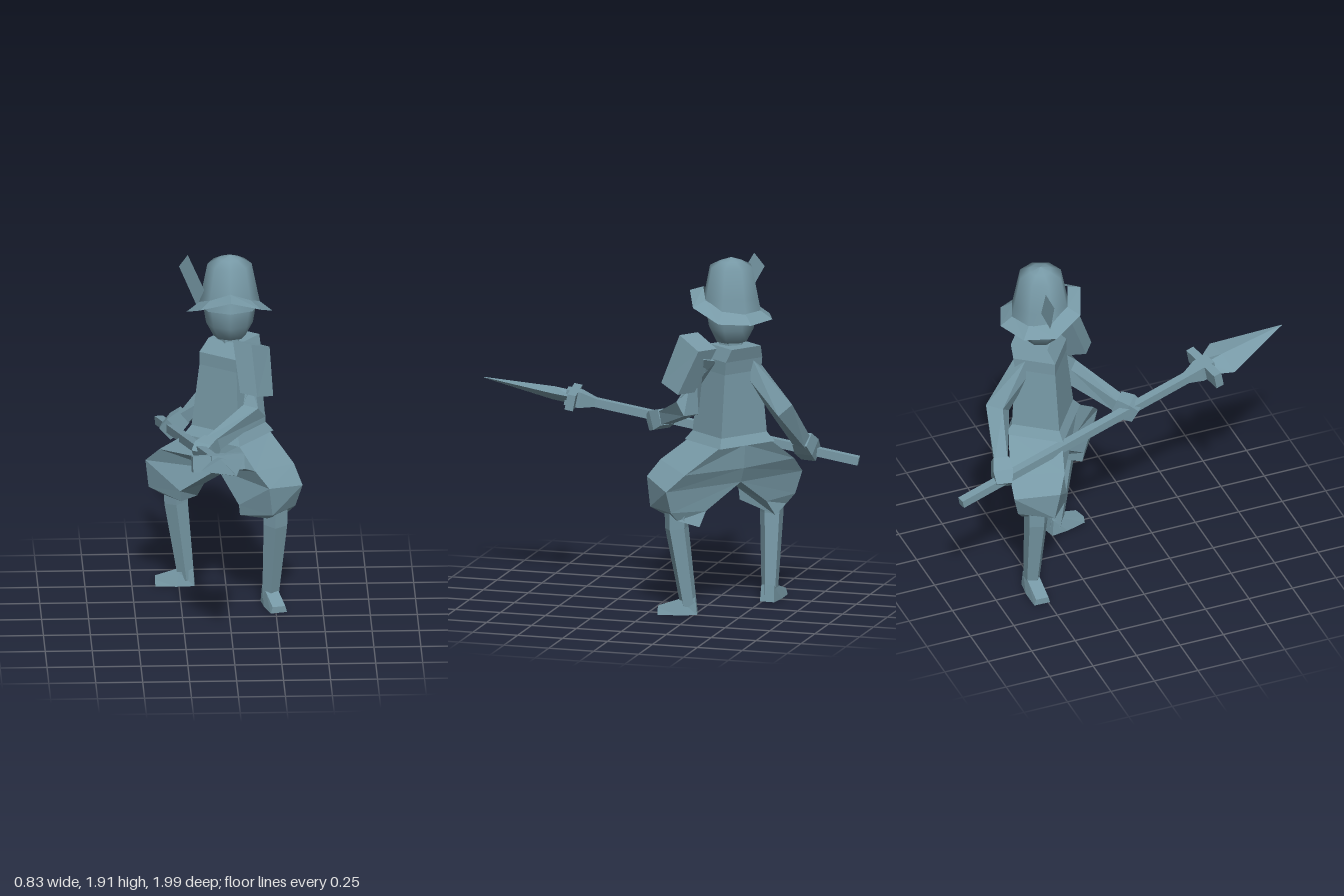
import * as THREE from 'three';

const COLOR = 0x7799a6;
const flat = new THREE.MeshStandardMaterial({ color: COLOR, flatShading: true, side: THREE.DoubleSide });
const smooth = new THREE.MeshStandardMaterial({ color: COLOR, side: THREE.DoubleSide });

function add(parent, name, geometry, material = flat) {
  const mesh = new THREE.Mesh(geometry, material);
  mesh.name = name;
  parent.add(mesh);
  return mesh;
}

// Skin a list of equal-length rings of [x, y, z]; capped, wound outward
function loft(rings, caps = true) {
  const tris = [];
  const n = rings[0].length;
  for (let i = 0; i < rings.length - 1; i++) {
    for (let j = 0; j < n; j++) {
      const k = (j + 1) % n;
      const [a, b, c, d] = [rings[i][j], rings[i][k], rings[i + 1][k], rings[i + 1][j]];
      tris.push([a, b, c], [a, c, d]);
    }
  }
  if (caps) {
    const [first, last] = [rings[0], rings[rings.length - 1]];
    for (let j = 1; j < n - 1; j++) {
      tris.push([first[0], first[j + 1], first[j]], [last[0], last[j], last[j + 1]]);
    }
  }
  let volume = 0;
  for (const [a, b, c] of tris) {
    volume += new THREE.Vector3(...a).dot(new THREE.Vector3(...b).cross(new THREE.Vector3(...c)));
  }
  if (volume < 0) tris.forEach((t) => t.reverse());
  const geometry = new THREE.BufferGeometry();
  geometry.setAttribute('position', new THREE.Float32BufferAttribute(tris.flat(2), 3));
  geometry.computeVertexNormals();
  return geometry;
}

// Faceted limb through points [x, y, z, radius]
function limb(points, sides = 4, turn = Math.PI / 4) {
  const v = points.map((p) => new THREE.Vector3(p[0], p[1], p[2]));
  return loft(points.map((p, i) => {
    const dir = v[Math.min(i + 1, v.length - 1)].clone().sub(v[Math.max(i - 1, 0)]).normalize();
    const ref = Math.abs(dir.y) > 0.9 ? new THREE.Vector3(0.6, 0, -0.8) : new THREE.Vector3(0, 1, 0);
    const s = ref.cross(dir).normalize();
    const t = dir.clone().cross(s);
    return Array.from({ length: sides }, (_, j) => {
      const a = turn + (j / sides) * Math.PI * 2;
      return v[i].clone().addScaledVector(s, p[3] * Math.cos(a)).addScaledVector(t, p[3] * Math.sin(a)).toArray();
    });
  }));
}

const rect = (y, w, back, front) => [[w, y, back], [w, y, front], [-w, y, front], [-w, y, back]];

function buildBody() {
  const body = new THREE.Group();
  body.name = 'body';
  body.position.set(0.01, 0, -0.375);
  body.rotation.y = -0.64;

  // Tunic with a flared hem and sloping collar
  add(body, 'tunic', loft([
    rect(0.91, 0.18, -0.16, 0.16), rect(0.96, 0.15, -0.13, 0.13), rect(1.3, 0.12, -0.12, 0.1),
    rect(1.37, 0.12, -0.13, 0.1), rect(1.44, 0.095, -0.15, 0.05),
  ]));

  // Baggy breeches, one mirrored half per leg
  const half = [
    [[0.17, 0.91, -0.14], [0.17, 0.91, 0.15], [0, 0.91, 0.15], [0, 0.91, -0.14]],
    [[0.36, 0.78, -0.09], [0.31, 0.81, 0.2], [0, 0.8, 0.16], [0, 0.78, -0.13]],
    [[0.45, 0.69, -0.04], [0.4, 0.73, 0.2], [0, 0.73, 0.1], [0, 0.7, -0.1]],
    [[0.41, 0.57, -0.03], [0.4, 0.57, 0.17], [0.19, 0.59, 0.18], [0.2, 0.56, -0.06]],
    [[0.36, 0.52, -0.02], [0.34, 0.53, 0.13], [0.19, 0.53, 0.17], [0.25, 0.48, -0.07]],
  ];
  for (const side of [1, -1]) {
    add(body, side > 0 ? 'leftBreeches' : 'rightBreeches',
      loft(half.map((ring) => ring.map(([x, y, z]) => [x * side, y, z]))));
  }
  return body;
}

function buildLegs(group) {
  const legs = [
    { side: 'left', knee: [0.25, -0.155], ankle: [0.225, -0.215], yaw: 0.25 },
    { side: 'right', knee: [-0.265, -0.525], ankle: [-0.21, -0.53], yaw: -1.6 },
  ];
  for (const { side, knee, ankle, yaw } of legs) {
    add(group, side + 'Shin', limb([
      [knee[0], 0.6, knee[1], 0.07], [knee[0], 0.47, knee[1], 0.066], [ankle[0], 0.03, ankle[1], 0.045],
    ], 5, 0.3));
    // Wedge foot, heel under the ankle
    const foot = add(group, side + 'Foot', loft([
      [[-0.04, 0, -0.045], [0.04, 0, -0.045], [0.035, 0.09, -0.035], [-0.035, 0.09, -0.035]],
      [[-0.05, 0, 0.05], [0.05, 0, 0.05], [0.035, 0.075, 0.04], [-0.035, 0.075, 0.04]],
      [[-0.045, 0, 0.165], [0.045, 0, 0.165], [0.035, 0.035, 0.165], [-0.035, 0.035, 0.165]],
    ]));
    foot.position.set(ankle[0], 0, ankle[1]);
    foot.rotation.y = yaw;
  }
}

function buildArms(group) {
  // Left arm reaches forward across the body, right arm back
  add(group, 'leftArm', limb([
    [0.13, 1.38, -0.28, 0.06], [0.14, 1.1, -0.18, 0.068], [-0.1, 0.98, 0.02, 0.05],
  ]));
  add(group, 'leftHand', limb([[-0.09, 0.99, 0.01, 0.06], [-0.13, 0.965, 0.06, 0.075], [-0.16, 0.94, 0.1, 0.06]]));
  add(group, 'rightArm', limb([
    [0, 1.34, -0.47, 0.06], [-0.03, 1.09, -0.65, 0.07], [-0.22, 0.87, -0.71, 0.05],
  ]));
  add(group, 'rightHand', limb([[-0.21, 0.89, -0.71, 0.06], [-0.26, 0.84, -0.72, 0.075], [-0.31, 0.79, -0.73, 0.06]]));

  // Shoulder guard, a tilted slab
  const guard = (cx, y, cz, w, d, tilt) => [[1, -1], [1, 1], [-1, 1], [-1, -1]].map(([a, b]) => [
    cx + 0.8 * a * w - 0.6 * b * d, y + tilt * b, cz + 0.6 * a * w + 0.8 * b * d]);
  add(group, 'shoulderGuard', loft([
    guard(0.125, 1.46, -0.235, 0.06, 0.085, 0.03), guard(0.15, 1.21, -0.13, 0.055, 0.075, 0.02),
  ]));
}

function buildHead() {
  const head = new THREE.Group();
  head.name = 'head';
  head.position.set(0.015, 0, -0.385);
  const lathe = (pts) => new THREE.LatheGeometry(pts.map(([r, y]) => new THREE.Vector2(r, y)), 8);

  add(head, 'neck', limb([[0, 1.38, 0, 0.07], [0, 1.5, 0, 0.07]], 6));
  add(head, 'face', lathe([[0, 1.435], [0.085, 1.455], [0.125, 1.53], [0.14, 1.62], [0.13, 1.72]]), smooth);
  add(head, 'hatCrown', lathe([[0.165, 1.63], [0.15, 1.7], [0.118, 1.86], [0.06, 1.89], [0, 1.91]]), smooth);

  // Brim, turned up at the front and drooping at the sides
  const outerY = [1.715, 1.655, 1.59, 1.58, 1.585];
  const innerY = [1.74, 1.69, 1.65, 1.635, 1.635];
  const ring = (r, heights) => Array.from({ length: 8 }, (_, i) => {
    const a = (i / 8) * Math.PI * 2;
    return [r * Math.sin(a), heights[Math.min(i, 8 - i)], r * Math.cos(a)];
  });
  add(head, 'hatBrim', loft([ring(0.155, innerY), ring(0.23, outerY)], false));

  // Flat feather on the right of the hat
  const feather = new THREE.BufferGeometry();
  feather.setAttribute('position', new THREE.Float32BufferAttribute([
    -0.265, 1.81, -0.105, -0.22, 1.89, -0.06, -0.115, 1.68, 0.045, -0.165, 1.6, -0.005], 3));
  feather.setIndex([0, 1, 2, 0, 2, 3]);
  feather.computeVertexNormals();
  add(head, 'feather', feather);
  return head;
}

function buildSpear() {
  const spear = new THREE.Group();
  spear.name = 'spear';
  spear.position.set(-0.17, 0.96, 0);
  spear.lookAt(0, 1.16, 1);

  add(spear, 'shaft', limb([
    [0, 0, -1.02, 0.032], [0, 0, 0.42, 0.032], [0, 0, 0.5, 0.06], [0, 0, 0.58, 0.06]]));
  add(spear, 'crossbar', new THREE.BoxGeometry(0.28, 0.085, 0.045)).position.z = 0.54;

  // Diamond-section blade
  const diamond = (z, w, h) => [[w, 0, z], [0, h, z], [-w, 0, z], [0, -h, z]];
  const blade = add(spear, 'blade', loft([
    diamond(0.54, 0.06, 0.035), diamond(0.65, 0.12, 0.035), diamond(1.03, 0.002, 0.002)]));
  blade.rotation.z = 0.2;
  return spear;
}

export function createModel() {
  const model = new THREE.Group();
  model.name = 'spearman';
  model.add(buildBody(), buildHead(), buildSpear());
  buildLegs(model);
  buildArms(model);
  return model;
}
